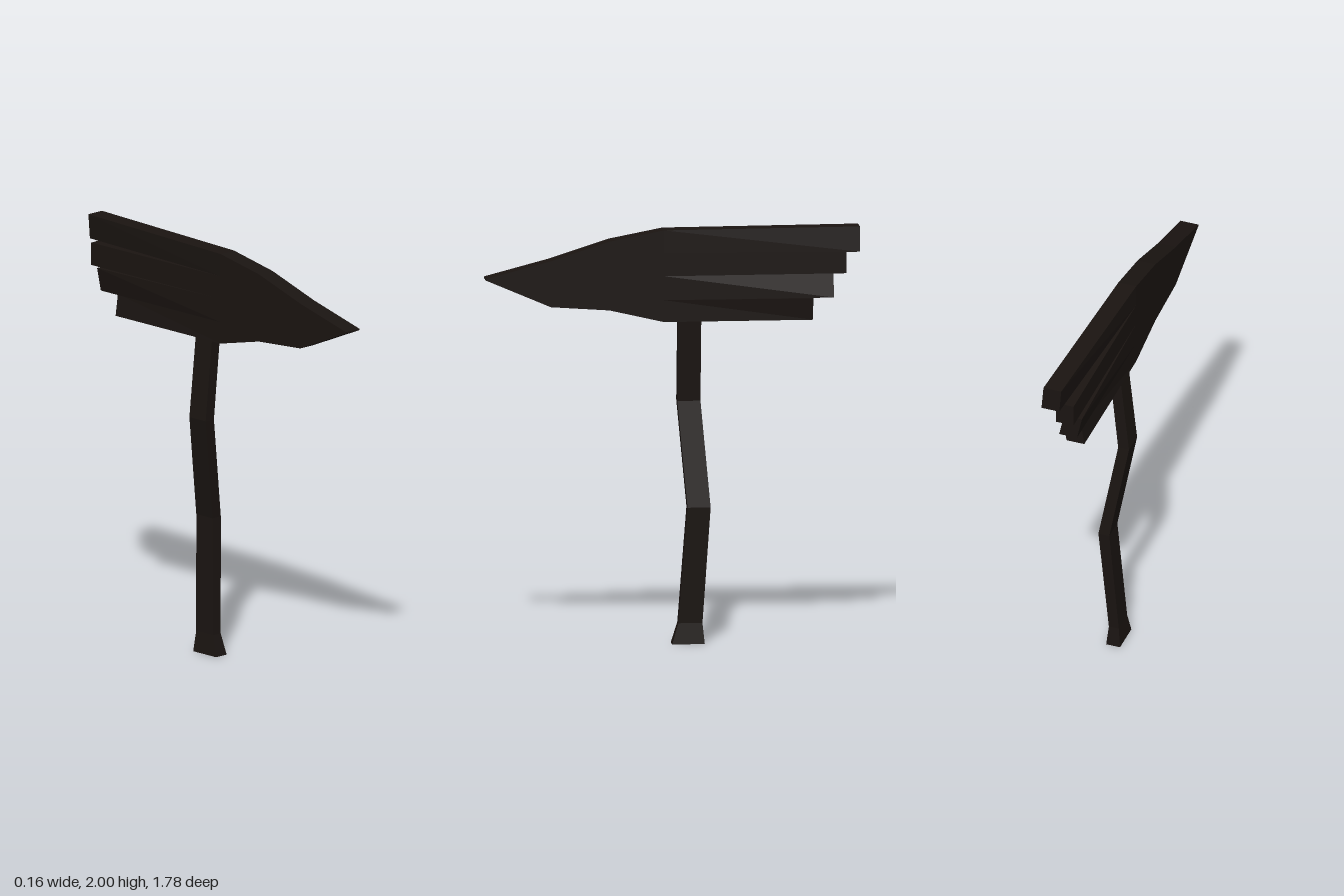
import * as THREE from 'three';

const wood = new THREE.MeshStandardMaterial({ color: 0x1a1411, flatShading: true, roughness: 0.9 });

// Skins four-cornered sections, each counter-clockwise as seen from the last one's outer side
function loft(name, sections, capStart = true, capEnd = true) {
  const pos = [];
  const quad = (a, b, c, d) => pos.push(...a, ...b, ...c, ...a, ...c, ...d);
  for (let s = 0; s < sections.length - 1; s++) {
    const p = sections[s], q = sections[s + 1];
    for (let i = 0; i < 4; i++) {
      const j = (i + 1) % 4;
      quad(p[i], p[j], q[j], q[i]);
    }
  }
  if (capStart) quad(...[...sections[0]].reverse());
  if (capEnd) quad(...sections[sections.length - 1]);
  const geo = new THREE.BufferGeometry();
  geo.setAttribute('position', new THREE.Float32BufferAttribute(pos, 3));
  geo.computeVertexNormals();
  const mesh = new THREE.Mesh(geo, wood);
  mesh.name = name;
  return mesh;
}

// Level section of the post
const level = (y, x0, x1, z0, z1) => [[x0, y, z1], [x1, y, z1], [x1, y, z0], [x0, y, z0]];

// Upright section of the board; bottom and top edges may be shifted sideways
const X0 = -0.055, X1 = 0.035;
const upright = (z, y0, y1, low = 0, high = 0) => [
  [X1 + low, y0, z], [X0 + low, y0, z], [X0 + high, y1, z], [X1 + high, y1, z],
];

export function createModel() {
  const group = new THREE.Group();
  group.name = 'arrowSignpost';

  // Crooked post with a flared foot
  group.add(loft('post', [
    level(0, -0.045, 0.025, -0.155, 0),
    level(0.1, -0.035, 0.015, -0.145, -0.03),
    level(0.66, 0, 0.055, -0.18, -0.07),
    level(1.16, -0.085, -0.03, -0.14, -0.03),
    level(1.56, -0.042, 0.01, -0.14, -0.03),
  ]));

  // Pointed front of the board
  group.add(loft('arrowPoint', [
    upright(0.89, 1.763, 1.769),
    upright(0.58, 1.63, 1.85),
    upright(0.3, 1.61, 1.94),
    upright(0.04, 1.55, 1.99),
  ], true, false));

  // Split planks behind it: end z, start heights, end heights, sideways warp of the end
  const planks = [
    [-0.89, 1.88, 1.99, 1.88, 2.0, 0.045, 0.035],
    [-0.83, 1.77, 1.88, 1.77, 1.88, -0.005, -0.005],
    [-0.77, 1.655, 1.77, 1.655, 1.77, 0, -0.025],
    [-0.67, 1.55, 1.655, 1.55, 1.655, 0, 0.015],
  ];
  planks.forEach(([z, a0, a1, b0, b1, low, high], i) => {
    group.add(loft(`plank${i + 1}`, [upright(0.04, a0, a1), upright(z, b0, b1, low, high)], false));
  });

  return group;
}
